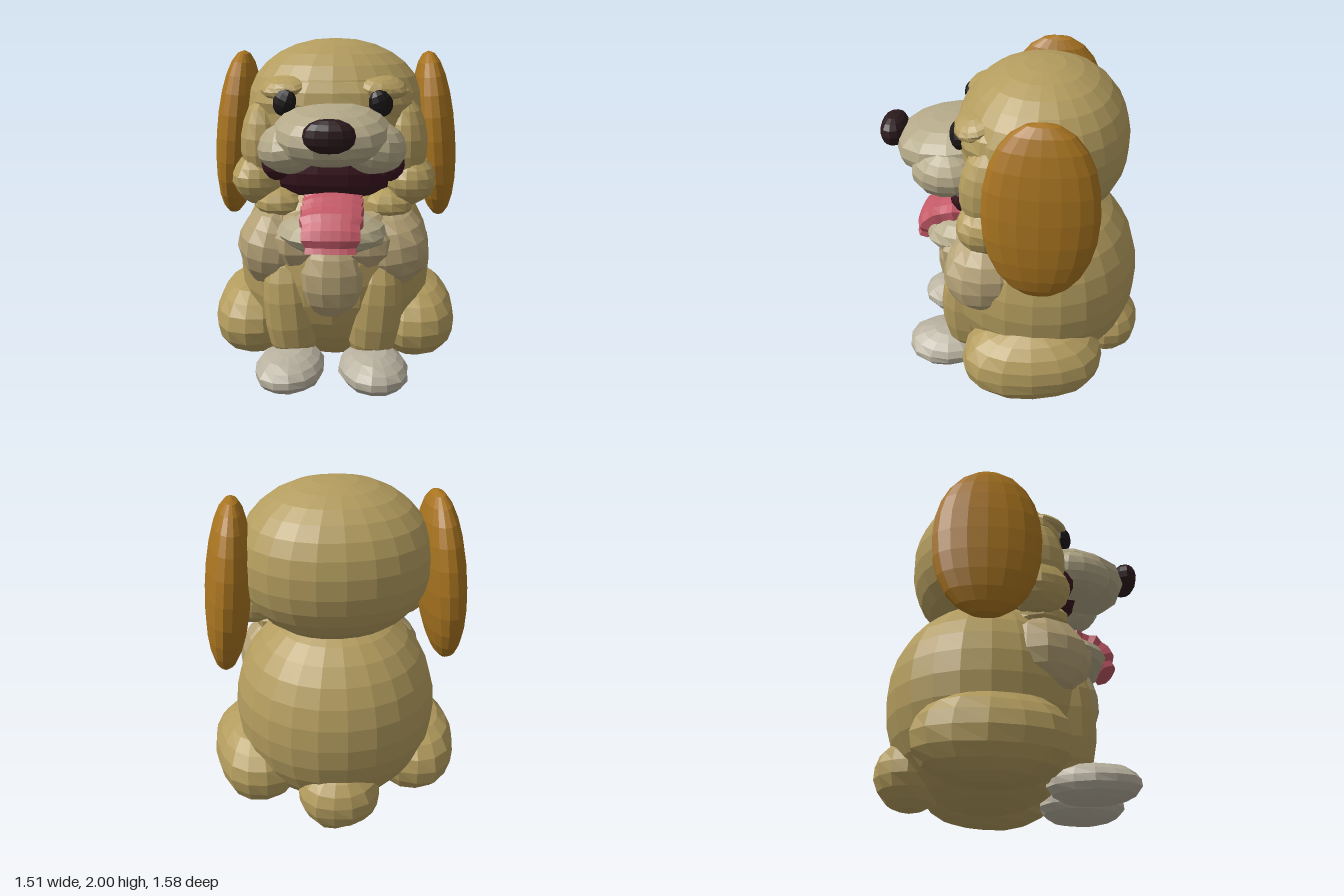
import * as THREE from 'three';

const mat = (color) => new THREE.MeshStandardMaterial({ color, flatShading: true });
const M = {
  fur: mat(0xb39c5e), ear: mat(0xa87420), chest: mat(0xb3a075), muzzle: mat(0xb3a888),
  paw: mat(0xb8b1a0), nose: mat(0x2c1a1d), mouth: mat(0x3a1620), tongue: mat(0xc45a68), eye: mat(0x1c1718),
};

// Faceted ellipsoid; square < 1 makes it boxier, lump pushes the surface in and out
function blob(name, material, pos, r, o = {}) {
  const { seg = 14, rings = 9, square = 1, lump = 0, rot = [0, 0, 0] } = o;
  const g = new THREE.SphereGeometry(1, seg, rings);
  const p = g.attributes.position;
  const soft = (v) => Math.sign(v) * Math.abs(v) ** square;
  for (let i = 0; i < p.count; i++) {
    const x = p.getX(i), y = p.getY(i), z = p.getZ(i);
    const k = 1 + lump * Math.sin(5 * x + 2 * y + 1) * Math.cos(4 * z - 3 * y);
    p.setXYZ(i, soft(x) * r[0] * k, soft(y) * r[1] * k, soft(z) * r[2] * k);
  }
  g.computeVertexNormals();
  const m = new THREE.Mesh(g, material);
  m.name = name;
  m.position.set(...pos);
  m.rotation.set(...rot);
  return m;
}

// Rippled tongue: a segmented box bent along a curve in the centre plane
function makeTongue() {
  const path = new THREE.CatmullRomCurve3([
    [1.1, 0.15], [1.06, 0.32], [1.03, 0.45], [0.98, 0.53], [0.87, 0.56],
  ].map(([y, z]) => new THREE.Vector3(0, y, z)));
  const g = new THREE.BoxGeometry(0.34, 0.13, 1, 6, 2, 14);
  const p = g.attributes.position;
  for (let i = 0; i < p.count; i++) {
    const t = p.getZ(i) + 0.5, x = p.getX(i), y = p.getY(i);
    const c = path.getPointAt(t), d = path.getTangentAt(t);
    const ripple = Math.sin(t * 32);
    const width = (1 + 0.06 * ripple) * (1 - 0.2 * t ** 6);
    const edge = 1 - 0.5 * (Math.abs(x) / 0.17) ** 3;
    const h = y * edge * (1 - 0.2 * t ** 4) + 0.008 * ripple;
    p.setXYZ(i, x * width, c.y + d.z * h, c.z - d.y * h);
  }
  g.computeVertexNormals();
  const m = new THREE.Mesh(g, M.tongue);
  m.name = 'tongue';
  return m;
}

export function createModel() {
  const dog = new THREE.Group();
  dog.name = 'sittingDog';
  const add = (...a) => dog.add(blob(...a));
  // Adds a left (+x) part and its mirror on the right
  const pair = (name, material, [x, y, z], r, o = {}) => {
    const [rx, ry, rz] = o.rot || [0, 0, 0];
    add(name + 'Left', material, [x, y, z], r, o);
    add(name + 'Right', material, [-x, y, z], r, { ...o, rot: [rx, -ry, -rz] });
  };

  // Torso and tail
  add('body', M.fur, [0, 0.63, -0.15], [0.6, 0.62, 0.6], { seg: 24, rings: 16, square: 0.96 });
  add('tail', M.fur, [0.03, 0.225, -0.585], [0.24, 0.205, 0.21], { lump: 0.04 });

  // Hind legs
  pair('thigh', M.fur, [0.49, 0.28, -0.14], [0.265, 0.25, 0.435], { seg: 16, rings: 10, square: 0.92, lump: 0.03, rot: [0.04, 0.1, 0] });

  // Front legs and paws
  pair('frontLeg', M.fur, [0.25, 0.44, 0.25], [0.165, 0.36, 0.195], { square: 0.85, rot: [0, 0, -0.08] });
  pair('frontPaw', M.paw, [0.245, 0.12, 0.42], [0.205, 0.115, 0.265], { lump: 0.04, rot: [0, 0.12, -0.04] });

  // Chest fur
  add('chestTuft', M.chest, [0, 0.66, 0.29], [0.22, 0.27, 0.22], { square: 0.95, lump: 0.04 });
  pair('chestSide', M.chest, [0.35, 0.8, 0.15], [0.22, 0.25, 0.26], { lump: 0.06, rot: [0, 0, 0.15] });
  pair('chestUpper', M.chest, [0.19, 0.86, 0.27], [0.18, 0.18, 0.18], { seg: 11, rings: 7, lump: 0.08 });

  // Head with brows, cheeks and jowls
  add('head', M.fur, [0, 1.55, -0.15], [0.55, 0.45, 0.49], { seg: 24, rings: 15, square: 0.93 });
  add('forehead', M.fur, [0, 1.65, 0.06], [0.47, 0.2, 0.275], { seg: 20, rings: 10, square: 0.92, lump: 0.02 });
  pair('brow', M.fur, [0.27, 1.745, 0.19], [0.15, 0.06, 0.13], { lump: 0.04, rot: [0.3, 0.2, -0.15] });
  pair('cheek', M.fur, [0.41, 1.4, 0.1], [0.14, 0.27, 0.18], { lump: 0.03 });
  pair('jowl', M.fur, [0.45, 1.2, 0.12], [0.15, 0.15, 0.18], { lump: 0.06 });
  pair('chin', M.fur, [0.32, 1.06, 0.14], [0.15, 0.1, 0.16], { seg: 11, rings: 7, lump: 0.08 });

  // Ears
  pair('ear', M.ear, [0.605, 1.417, -0.185], [0.13, 0.51, 0.315], { seg: 18, rings: 12, square: 0.95, rot: [0, 0, 0.09] });

  // Eyes
  pair('eye', M.eye, [0.268, 1.665, 0.29], [0.07, 0.08, 0.05], { seg: 10, rings: 7, rot: [0, 0.3, 0.4] });

  // Muzzle and nose
  add('muzzle', M.muzzle, [0, 1.505, 0.35], [0.33, 0.16, 0.35], { rings: 10, square: 0.9, lump: 0.02, rot: [0.1, 0, 0] });
  pair('muzzleLobe', M.muzzle, [0.23, 1.43, 0.36], [0.185, 0.145, 0.22], { lump: 0.03, rot: [0, -0.2, -0.2] });
  add('nose', M.nose, [0, 1.545, 0.715], [0.137, 0.09, 0.078], { seg: 12, rings: 8, square: 0.9 });

  // Mouth, lower jaw and tongue
  add('mouth', M.mouth, [0, 1.25, 0.08], [0.39, 0.19, 0.19], { seg: 18, rings: 10, square: 0.85 });
  add('upperLip', M.mouth, [0, 1.36, 0.24], [0.33, 0.06, 0.15], { rings: 7, square: 0.9 });
  pair('mouthCorner', M.mouth, [0.33, 1.31, 0.24], [0.085, 0.1, 0.1], { seg: 10, rings: 7, rot: [0, 0, -0.3] });
  add('lowerJaw', M.muzzle, [0, 0.935, 0.33], [0.32, 0.12, 0.235], { seg: 16, rings: 8, lump: 0.05, rot: [0.06, 0, 0] });
  dog.add(makeTongue());

  return dog;
}
